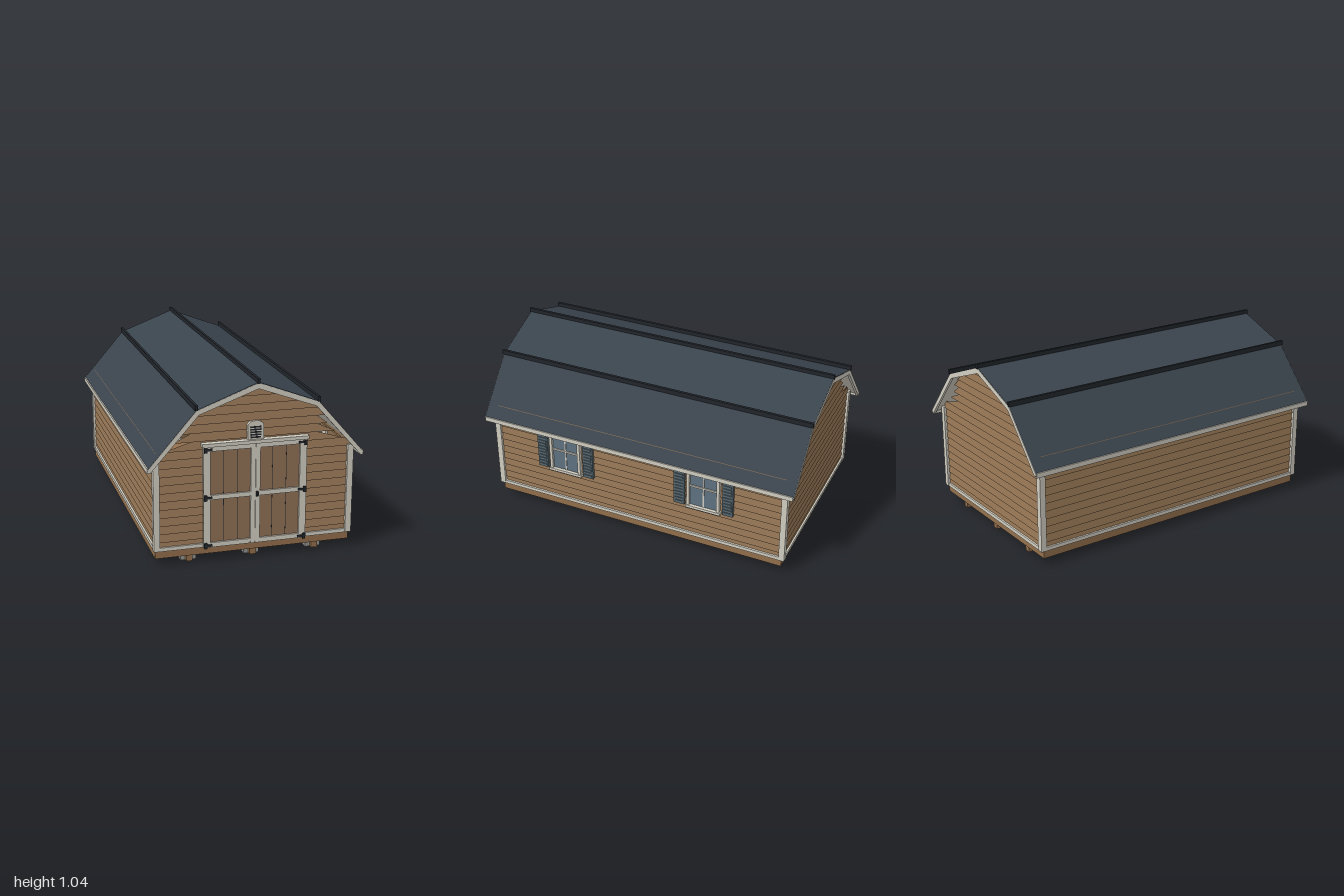
import * as THREE from 'three';
import { mergeGeometries } from 'three/addons/utils/BufferGeometryUtils.js';

const paint = (name, color, side = THREE.FrontSide) => {
  const m = new THREE.MeshStandardMaterial({ color, side });
  m.name = name;
  return m;
};

export function createModel() {
  const root = new THREE.Group();
  root.name = 'gambrelShed';
  const siding = paint('tanSiding', 0x957554, THREE.DoubleSide);
  const doorTan = paint('doorTan', 0x8f7156);
  const lumber = paint('lumber', 0x936f4c);
  const trim = paint('offWhiteTrim', 0xd2cec2);
  const roofing = paint('slateRoofing', 0x3a444d);
  const black = paint('blackMetal', 0x22262b);
  const shutterBlue = paint('shutterBlue', 0x566871);
  const glass = paint('windowGlass', 0x5f7280);
  const concrete = paint('concrete', 0x92928e);

  const add = (parent, name, geo, mat) => {
    const m = new THREE.Mesh(geo, mat);
    m.name = name;
    parent.add(m);
    return m;
  };
  const box = (parent, name, mat, x0, x1, y0, y1, z0, z1) => {
    const m = add(parent, name, new THREE.BoxGeometry(x1 - x0, y1 - y0, z1 - z0), mat);
    m.position.set((x0 + x1) / 2, (y0 + y1) / 2, (z0 + z1) / 2);
    return m;
  };
  const group = (name, parent = root) => {
    const g = new THREE.Group();
    g.name = name;
    parent.add(g);
    return g;
  };

  // Foundation: floor frame, three skids and nine blocks
  const base = group('foundation');
  box(base, 'floorFrame', lumber, -0.565, 0.565, 0.042, 0.09, -0.93, 0.93);
  for (const x of [-0.367, 0, 0.367]) {
    box(base, 'skid', lumber, x - 0.018, x + 0.018, 0.004, 0.044, -0.92, 0.92);
    for (const z of [-0.84, 0, 0.84])
      box(base, 'block', concrete, x - 0.045, x + 0.045, 0, 0.026, z - 0.05, z + 0.05);
  }

  // Lap siding: each course leans out at its lower edge and has a small lip beneath
  const course = (y0, y1, wb, wt) => {
    const lip = 0.009;
    const g = new THREE.BufferGeometry();
    g.setAttribute('position', new THREE.Float32BufferAttribute([
      -wb, y0, lip, wb, y0, lip, wt, y1, 0, -wt, y1, 0,
      -wb, y0, 0, wb, y0, 0, wb, y0, lip, -wb, y0, lip], 3));
    g.setIndex([0, 1, 2, 0, 2, 3, 4, 5, 6, 4, 6, 7]);
    g.computeVertexNormals();
    return g;
  };
  const H = 0.047, Y0 = 0.09;
  const wall = (halfWidth, gable) => {
    const parts = [];
    for (let i = 0; i < 12; i++) parts.push(course(Y0 + i * H, Y0 + (i + 1) * H, halfWidth, halfWidth));
    if (gable) {
      // ragged board ends beside the steep roof, then boards cut to the upper slope
      [0.52, 0.465, 0.42, 0.405].forEach((w, k) =>
        parts.push(course(Y0 + (12 + k) * H, Y0 + (13 + k) * H, w, 0.358)));
      const slope = (y) => Math.max(0, Math.min(0.36, 0.345 * (1.005 - y) / 0.13));
      for (let i = 16; i < 20; i++) {
        const a = Y0 + i * H, b = Math.min(a + H, 1.005);
        if (b > a) parts.push(course(a, b, slope(a), slope(b)));
      }
    }
    return mergeGeometries(parts);
  };
  const walls = group('walls');
  for (const s of [1, -1]) {
    const end = add(walls, s > 0 ? 'frontWall' : 'backWall', wall(0.555, true), siding);
    end.position.z = s * 0.93;
    end.rotation.y = s > 0 ? 0 : Math.PI;
    const side = add(walls, s > 0 ? 'leftWall' : 'rightWall', wall(0.93, false), siding);
    side.position.x = s * 0.555;
    side.rotation.y = s * Math.PI / 2;
  }

  // Corner boards and bottom trim
  const trims = group('wallTrim');
  for (const s of [1, -1]) {
    for (const t of [1, -1]) {
      const c = box(trims, 'cornerBoard', trim, 0.54, 0.575, 0.09, 0.615, 0.915, 0.95);
      c.position.x *= s;
      c.position.z *= t;
    }
    const e = box(trims, 'endSkirt', trim, -0.54, 0.54, 0.088, 0.11, 0.925, 0.946);
    e.position.z *= s;
    const k = box(trims, 'sideSkirt', trim, 0.55, 0.572, 0.088, 0.11, -0.92, 0.92);
    k.position.x *= s;
  }

  // Gambrel roof: bands between an outer and an inner outline
  const band = (outer, inner, depth) => {
    const mirror = (p) => [...p.map(([x, y]) => [-x, y]), ...p.slice(0, -1).reverse()];
    const pts = [...mirror(outer), ...mirror(inner).reverse()];
    const shape = new THREE.Shape(pts.map(([x, y]) => new THREE.Vector2(x, y)));
    const g = new THREE.ExtrudeGeometry(shape, { depth, bevelEnabled: false });
    g.translate(0, 0, -depth / 2);
    return g;
  };
  const line = [[0.613, 0.585], [0.345, 0.893], [0, 1.024]];
  const drop = (d) => line.map(([x, y]) => [x, y - d]);
  const roof = group('roof');
  add(roof, 'roofSheet', band(line, drop(0.012), 1.988), roofing);
  add(roof, 'soffit', band(drop(0.012), drop(0.02), 1.97), trim);
  for (const s of [1, -1]) {
    const rake = add(roof, 'rakeBoard',
      band([[0.616, 0.581], [0.345, 0.891], [0, 1.021]], [[0.598, 0.566], [0.331, 0.867], [0, 0.988]], 0.016), trim);
    rake.position.z = s * 0.988;
    const f = box(roof, 'eaveFascia', trim, 0.6, 0.616, 0.562, 0.59, -0.99, 0.99);
    f.position.x *= s;
  }
  for (const [x, y] of [[0, 1.032], [-0.345, 0.908], [0.345, 0.908]])
    box(roof, 'ridgeCap', black, x - 0.008, x + 0.008, y - 0.016, y + 0.012, -1, 1);

  // Double doors
  const doors = group('doubleDoors');
  for (const s of [1, -1]) {
    const leaf = group(s > 0 ? 'leftDoor' : 'rightDoor', doors);
    const b = (name, mat, x0, x1, y0, y1, z0, z1) => {
      box(leaf, name, mat, x0, x1, y0, y1, z0, z1).position.x *= s;
    };
    b('doorPanel', doorTan, 0.002, 0.293, 0.092, 0.67, 0.93, 0.946);
    for (const x of [0.1, 0.18]) b('groove', black, x - 0.0015, x + 0.0015, 0.11, 0.65, 0.945, 0.9465);
    b('outerStile', trim, 0.256, 0.296, 0.088, 0.675, 0.94, 0.958);
    b('innerStile', trim, 0.001, 0.027, 0.088, 0.675, 0.94, 0.958);
    for (const [y0, y1] of [[0.088, 0.115], [0.367, 0.393], [0.645, 0.672]])
      b('rail', trim, 0.027, 0.256, y0, y1, 0.94, 0.957);
    for (const y of [0.1, 0.38, 0.656]) {
      b('hingePlate', black, 0.278, 0.294, y - 0.016, y + 0.016, 0.957, 0.968);
      b('hingeStrap', black, 0.248, 0.28, y - 0.006, y + 0.006, 0.957, 0.963);
    }
  }
  box(doors, 'header', trim, -0.305, 0.305, 0.672, 0.692, 0.93, 0.968);
  box(doors, 'handlePlate', black, 0.002, 0.016, 0.364, 0.394, 0.957, 0.966);
  box(doors, 'handleKnob', black, 0.004, 0.013, 0.374, 0.39, 0.965, 0.978);

  // Arched gable vent with louvers
  const vent = group('gableVent');
  const arch = new THREE.Shape();
  arch.moveTo(-0.046, 0.692);
  arch.lineTo(0.046, 0.692);
  arch.lineTo(0.046, 0.77);
  arch.absellipse(0, 0.77, 0.046, 0.028, 0, Math.PI);
  arch.closePath();
  add(vent, 'ventFrame', new THREE.ExtrudeGeometry(arch, { depth: 0.022, bevelEnabled: false, curveSegments: 10 }), trim)
    .position.z = 0.93;
  for (let i = 0; i < 5; i++)
    box(vent, 'louver', black, -0.03, 0.03, 0.7 + i * 0.0145, 0.709 + i * 0.0145, 0.95, 0.954);

  // Two windows with louvered shutters on the left wall
  for (const z of [0.466, -0.44]) {
    const win = group('window');
    win.position.z = z;
    box(win, 'glass', glass, 0.55, 0.57, 0.315, 0.57, -0.09, 0.09);
    for (const s of [1, -1]) {
      box(win, 'jamb', trim, 0.55, 0.585, 0.31, 0.575, s * 0.094 - 0.009, s * 0.094 + 0.009);
      box(win, 'shutter', shutterBlue, 0.55, 0.58, 0.31, 0.56, s * 0.153 - 0.033, s * 0.153 + 0.033);
      for (let i = 0; i < 11; i++)
        box(win, 'shutterSlat', shutterBlue, 0.578, 0.585, 0.322 + i * 0.021, 0.334 + i * 0.021, s * 0.153 - 0.025, s * 0.153 + 0.025);
    }
    box(win, 'sill', trim, 0.55, 0.59, 0.303, 0.32, -0.11, 0.11);
    box(win, 'headTrim', trim, 0.55, 0.588, 0.555, 0.585, -0.11, 0.11);
    box(win, 'meetingRail', trim, 0.55, 0.577, 0.449, 0.46, -0.087, 0.087);
    box(win, 'muntin', trim, 0.55, 0.574, 0.315, 0.56, -0.004, 0.004);
  }
  return root;
}
